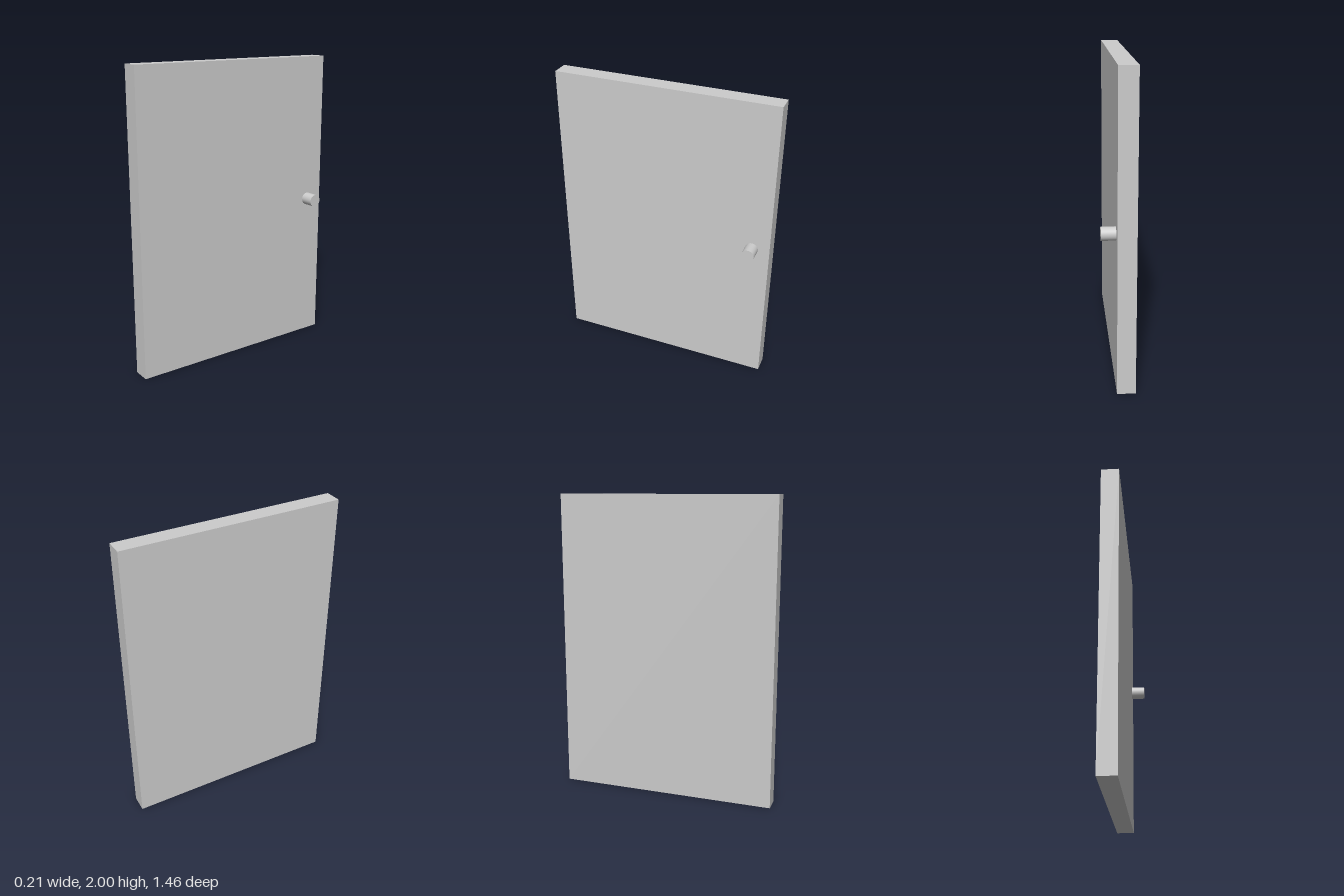
import * as THREE from 'three';

export function createModel() {
  const group = new THREE.Group();
  const material = new THREE.MeshStandardMaterial({ color: 0xcccccc });
  const back = -0.103, face = 0.013, knobEnd = 0.103;

  // Flat door slab
  const panel = new THREE.Mesh(new THREE.BoxGeometry(face - back, 2, 1.456), material);
  panel.name = 'doorPanel';
  panel.position.set((back + face) / 2, 1, 0);
  group.add(panel);

  // Round knob standing out of the face
  const knob = new THREE.Mesh(new THREE.CylinderGeometry(0.042, 0.042, knobEnd - face, 32), material);
  knob.name = 'doorKnob';
  knob.rotation.z = -Math.PI / 2;
  knob.position.set((face + knobEnd) / 2, 1.008, -0.61);
  group.add(knob);

  return group;
}
